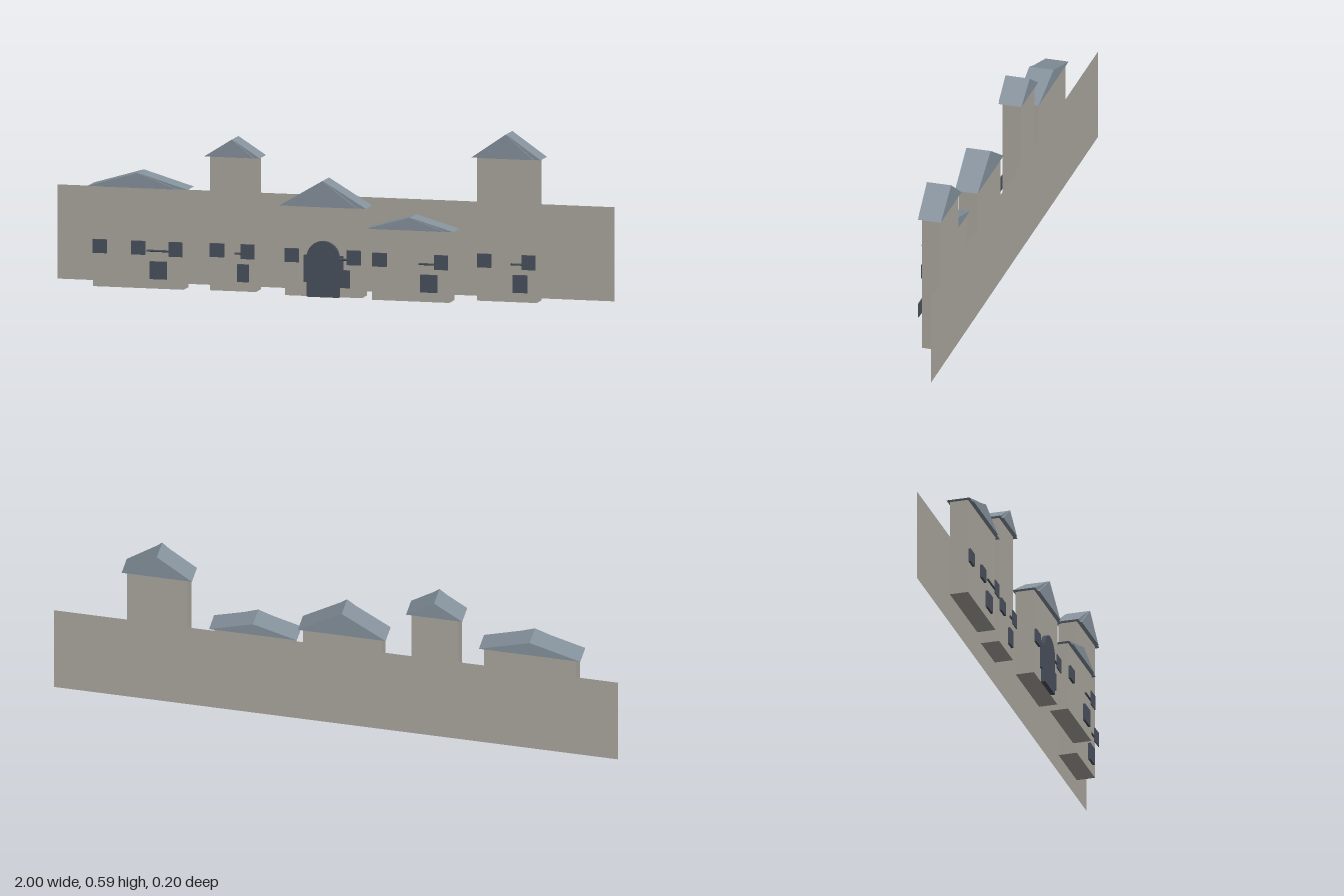
import * as THREE from 'three';

export function createModel() {
  const group = new THREE.Group();
  const mat = (name, color) => {
    const m = new THREE.MeshStandardMaterial({ color });
    m.name = name;
    return m;
  };
  const stone = mat('pale stone', 0xaca89f);
  const slate = mat('blue slate', 0x86929d);
  const dark = mat('dark trim', 0x4a515d);
  const backdropStone = stone.clone();
  backdropStone.name = 'backdrop stone';
  backdropStone.side = THREE.DoubleSide;

  const add = (parent, name, geometry, material, x, y, z) => {
    const mesh = new THREE.Mesh(geometry, material);
    mesh.name = name;
    mesh.position.set(x, y, z);
    parent.add(mesh);
    return mesh;
  };
  const box = (w, h, d) => new THREE.BoxGeometry(w, h, d);

  // Triangular prism with its ridge along z, standing on y = 0
  const gable = (width, height, depth) => {
    const s = new THREE.Shape();
    s.moveTo(-width / 2, 0);
    s.lineTo(width / 2, 0);
    s.lineTo(0, height);
    s.closePath();
    return new THREE.ExtrudeGeometry(s, { depth, bevelEnabled: false });
  };

  // Long thin wall behind the row
  add(group, 'backWall', new THREE.PlaneGeometry(2, 0.33), backdropStone, 0, 0.165, -0.1);

  // x range, wall height, ridge height, front z, windows, door centre and width, start of sign rod
  const houses = [
    { name: 'wideHouse', x0: -0.835, x1: -0.51, h: 0.352, top: 0.405, z: 0.035,
      windows: [-0.81, -0.672], door: [-0.6, 0.06], rod: -0.64 },
    { name: 'slimTower', x0: -0.42, x1: -0.255, h: 0.47, top: 0.533, z: 0.02,
      windows: [-0.393], door: [-0.3, 0.04], rod: -0.328 },
    { name: 'gateHouse', x0: -0.14, x1: 0.137, h: 0.315, top: 0.407, z: 0.06,
      windows: [-0.113], door: [0.07, 0.05], rod: 0.02 },
    { name: 'lowHouse', x0: 0.18, x1: 0.457, h: 0.25, top: 0.295, z: 0.085,
      windows: [0.208], door: [0.385, 0.062], rod: 0.35 },
    { name: 'tallTower', x0: 0.535, x1: 0.75, h: 0.502, top: 0.588, z: 0.008,
      windows: [0.563], door: [0.692, 0.052], rod: 0.66 },
  ];

  for (const b of houses) {
    const house = new THREE.Group();
    house.name = b.name;
    group.add(house);
    const w = b.x1 - b.x0, cx = (b.x0 + b.x1) / 2, rise = b.top - b.h;

    add(house, 'walls', box(w, b.h, 0.066), stone, cx, b.h / 2, b.z - 0.033);
    // Roof overhangs the walls, with a narrower plate on the gable
    add(house, 'roof', gable(w + 0.034, rise, 0.083), slate, cx, b.h, b.z - 0.073);
    add(house, 'gablePlate', gable((w + 0.034) * 0.8, rise, 0.005), slate, cx, b.h, b.z + 0.01);

    for (const x of b.windows) {
      add(house, 'window', box(0.05, 0.048, 0.008), dark, x, 0.142, b.z + 0.005);
    }
    add(house, 'door', box(b.door[1], 0.062, 0.008), dark, b.door[0], 0.065, b.z + 0.005);

    // Hanging sign on a horizontal rod
    const signX = b.x1 - 0.026;
    add(house, 'sign', box(0.05, 0.052, 0.003), dark, signX, 0.142, b.z + 0.0135);
    const rod = new THREE.CylinderGeometry(0.004, 0.004, signX - b.rod, 6).rotateZ(Math.PI / 2);
    add(house, 'signRod', rod, dark, (signX + b.rod) / 2, 0.134, b.z + 0.0115);
  }

  // Arched gate with two jambs
  const arch = new THREE.Shape();
  arch.moveTo(-0.058, 0);
  arch.lineTo(0.058, 0);
  arch.lineTo(0.058, 0.138);
  arch.absarc(0, 0.138, 0.058, 0, Math.PI, false);
  arch.closePath();
  const gate = new THREE.ExtrudeGeometry(arch, { depth: 0.016, bevelEnabled: false, curveSegments: 8 });
  add(group, 'archedGate', gate, dark, 0, 0, 0.06);
  for (const side of [-1, 1]) {
    add(group, 'gateJamb', box(0.015, 0.095, 0.008), dark, side * 0.063, 0.097, 0.064);
  }
  return group;
}
